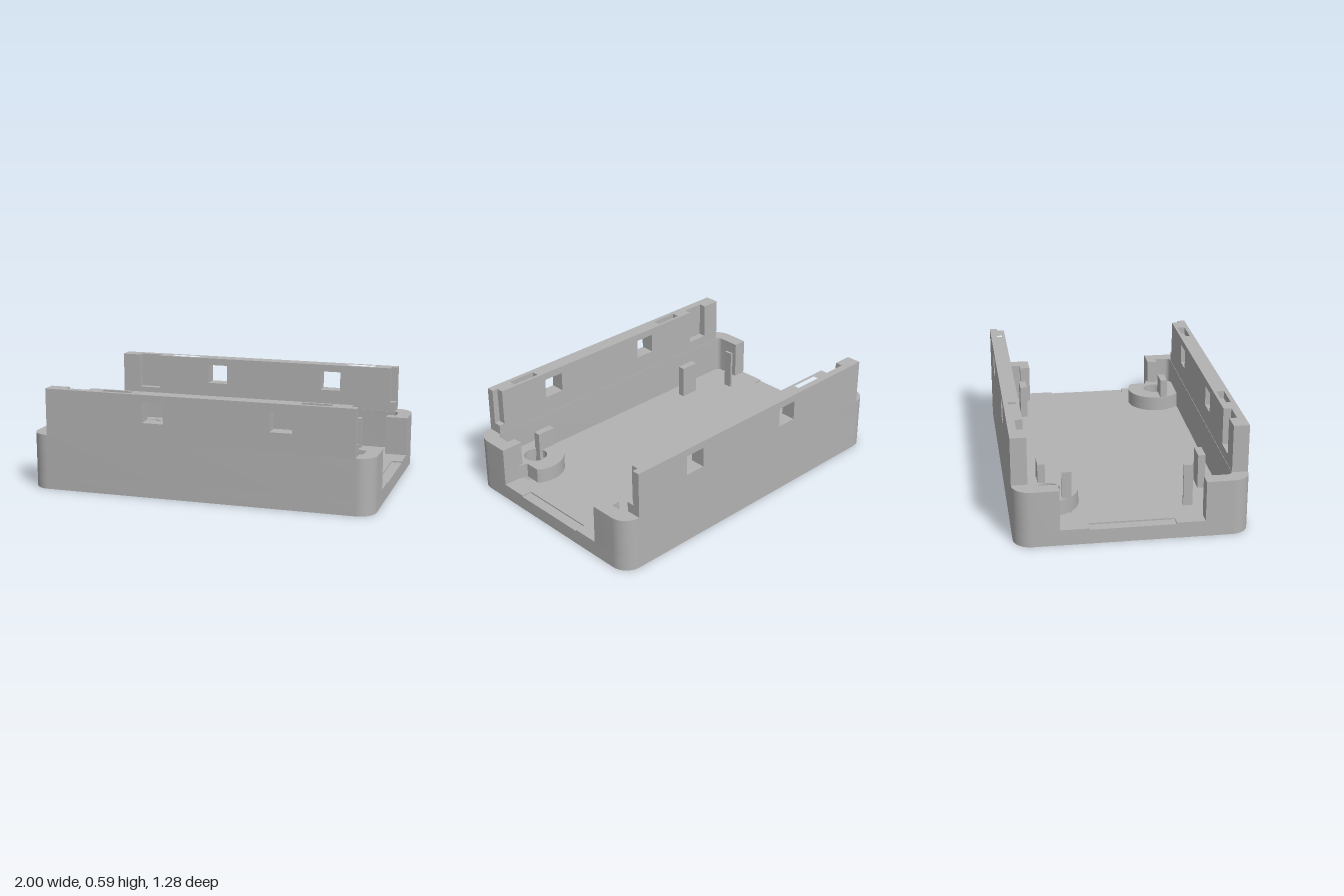
import * as THREE from 'three';
import { toCreasedNormals } from 'three/addons/utils/BufferGeometryUtils.js';

const grey = new THREE.MeshStandardMaterial({ color: 0xb2b2b2 });
grey.name = 'grey plastic';

const FLOOR = 0.09, RIM = 0.32, TOP = 0.59;
const BOSSES = [{ x: -0.663, z: -0.425 }, { x: 0.754, z: 0.417, clip: true }];

const path = pts => pts.map(([x, z]) => new THREE.Vector2(x, z));

// points of an arc in plan (x, z)
function arc(cx, cz, r, a0, a1, n) {
  return Array.from({ length: n + 1 }, (_, i) => {
    const a = a0 + (a1 - a0) * i / n;
    return [cx + r * Math.cos(a), cz + r * Math.sin(a)];
  });
}
const circle = (x, z, r, n = 48) => arc(x, z, r, 0, Math.PI * 2, n).slice(0, -1);
const hexagon = (x, z) => arc(x, z, 0.138, Math.PI / 6, Math.PI * 13 / 6, 6).slice(0, -1);
const rect = (x0, x1, z0, z1) => [[x0, z0], [x1, z0], [x1, z1], [x0, z1]];

export function createModel() {
  const model = new THREE.Group();
  model.name = 'enclosureTray';

  // plan outline extruded between two heights
  function slab(name, y0, y1, outline, holes = []) {
    const shape = new THREE.Shape(path(outline));
    holes.forEach(h => shape.holes.push(new THREE.Path(path(h))));
    let geo = new THREE.ExtrudeGeometry(shape, { depth: y1 - y0, bevelEnabled: false });
    geo.rotateX(Math.PI / 2).translate(0, y1, 0);
    geo = toCreasedNormals(geo, 0.5);
    const mesh = new THREE.Mesh(geo, grey);
    mesh.name = name;
    model.add(mesh);
  }

  // floor, with hexagonal nut pockets, a small slit and shallow end recesses
  const P = Math.PI;
  const c = [
    arc(0.9, 0.54, 0.1, 0, P / 2, 12), arc(-0.9, 0.54, 0.1, P / 2, P, 12),
    arc(-0.9, -0.54, 0.1, P, P * 1.5, 12), arc(0.9, -0.54, 0.1, P * 1.5, P * 2, 12),
  ];
  const floorHoles = [...BOSSES.map(b => hexagon(b.x, b.z)), rect(0.8765, 0.886, 0.35, 0.388)].slice(0, 2);
  slab('floor', 0, 0.082, c.flat(), floorHoles);
  slab('floorTop', 0.082, FLOOR, [
    ...c[0], ...c[1], [-1, 0.235], [-0.94, 0.235], [-0.94, -0.235], [-1, -0.235],
    ...c[2], ...c[3], [1, -0.235], [0.94, -0.235], [0.94, 0.235], [1, 0.235],
  ], floorHoles);

  // screw bosses: nut pocket below, round hole above
  for (const b of BOSSES) {
    const outline = circle(b.x, b.z, 0.168).map(([x, z]) =>
      [b.clip && z < b.z - 0.03 ? Math.min(x, 0.85) : x, z]);
    slab('bossBase', FLOOR, 0.13, outline, [hexagon(b.x, b.z)]);
    slab('bossTop', 0.13, 0.178, outline, [circle(b.x, b.z, 0.067, 32)]);
  }

  for (const s of [1, -1]) {
    const side = s > 0 ? 'front' : 'back';
    const wall = (name, y0, y1, pts, holes = []) => {
      const flip = list => list.map(([x, z]) => [x, z * s]);
      slab(side + name, y0, y1, flip(pts), holes.map(flip));
    };

    // lower wall wrapping both corners, with a rib at the left end
    wall('LowerWall', FLOOR, RIM, [
      [1, 0.393], ...c[0], ...c[1], [-1, 0.393], [-0.92, 0.393],
      ...arc(-0.89, 0.52, 0.03, P, P / 2, 6), ...arc(0.89, 0.52, 0.03, P / 2, 0, 6),
      [0.92, 0.453], [0.87, 0.453], [0.87, 0.393],
    ]);

    // upper wall: solid strip, recessed strip, windows, slotted top
    wall('UpperWall', RIM, 0.378, rect(-0.897, 0.897, 0.552, 0.64));
    const left = [[-0.897, 0.64], [-0.897, 0.552], [-0.785, 0.552], [-0.785, 0.596],
      [-0.65, 0.596], [-0.65, 0.552]];
    const right = [[0.862, 0.552], [0.862, 0.596], [0.897, 0.596], [0.897, 0.64]];
    wall('RecessedWall', 0.378, 0.43, [...left, ...right]);
    wall('WindowPierRight', 0.43, 0.547, [...left, [-0.315, 0.552], [-0.315, 0.64]]);
    wall('WindowPierMiddle', 0.43, 0.547, rect(-0.19, 0.422, 0.552, 0.64));
    wall('WindowPierLeft', 0.43, 0.547, [[0.547, 0.64], [0.547, 0.552], ...right]);
    wall('WallTop', 0.547, TOP, [...left, ...right],
      [rect(-0.56, -0.39, 0.57, 0.614), rect(0.588, 0.758, 0.57, 0.614)]);

    // board supports and thin posts
    for (const x of [-0.59, 0.595]) wall('BoardSupport', FLOOR, 0.29, rect(x, x + 0.115, 0.432, 0.474));
    wall('ThinPost', FLOOR, 0.333, rect(-0.8, -0.785, 0.308, 0.36));
  }
  return model;
}
